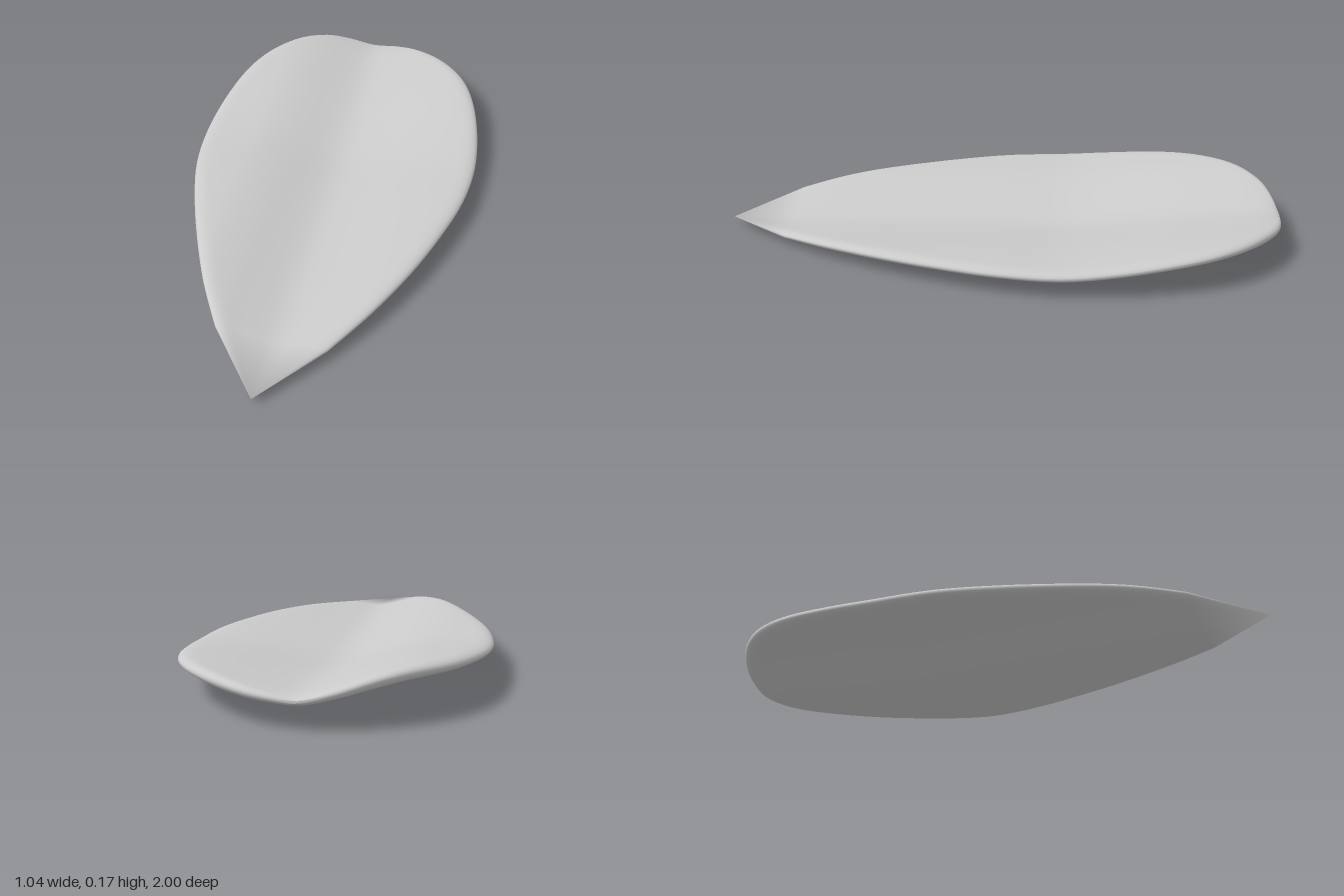
import * as THREE from 'three';

// Smooth interpolation through [position, value] pairs
function smooth(points, p) {
  const n = points.length - 1;
  if (p <= points[0][0]) return points[0][1];
  if (p >= points[n][0]) return points[n][1];
  let i = 0;
  while (p > points[i + 1][0]) i++;
  const slope = (j) => {
    const a = points[Math.max(j - 1, 0)], b = points[Math.min(j + 1, n)];
    return (b[1] - a[1]) / (b[0] - a[0]);
  };
  const [x0, y0] = points[i], [x1, y1] = points[i + 1];
  const d = x1 - x0, t = (p - x0) / d, t2 = t * t, t3 = t2 * t;
  return (2 * t3 - 3 * t2 + 1) * y0 + (t3 - 2 * t2 + t) * d * slope(i)
    + (3 * t2 - 2 * t3) * y1 + (t3 - t2) * d * slope(i + 1);
}

// Half outline from the round back end towards the pointed tip: (z, half width)
const outline = new THREE.SplineCurve([
  [-1, 0], [-0.99, 0.1], [-0.955, 0.2], [-0.87, 0.315], [-0.75, 0.41], [-0.6, 0.47],
  [-0.4, 0.508], [-0.2, 0.518], [0, 0.495], [0.2, 0.44], [0.4, 0.368], [0.6, 0.278], [0.77, 0.182],
].map(([z, w]) => new THREE.Vector2(z, w)));

// Creased valley across the width, one wing higher than the other
const valley = [[-0.52, 0.097], [-0.4, 0.095], [-0.3, 0.09], [-0.2, 0.071], [-0.1, 0.042], [0, 0.02],
  [0.1, 0.028], [0.2, 0.042], [0.3, 0.056], [0.4, 0.066], [0.52, 0.073]];
// Upward curl of the back end
const curl = [[-1, 0.068], [-0.77, 0.052], [-0.6, 0.037], [-0.4, 0.015], [-0.22, 0], [0, 0]];
// Half thickness along the length
const thickness = [[-1, 0.004], [-0.985, 0.012], [-0.95, 0.018], [-0.88, 0.021], [-0.4, 0.02],
  [0.4, 0.02], [0.6, 0.019], [0.77, 0.016]];

function petalGeometry() {
  const rings = 48, sides = 64;
  const positions = [], index = [];
  const middle = (x, z) => smooth(valley, x) + smooth(curl, z);

  // Cross-sections with rounded rims
  for (let i = 0; i < rings; i++) {
    const { x: z, y: w } = outline.getPoint((i + 0.4) / (rings - 0.6));
    const centre = -0.02 * THREE.MathUtils.smoothstep(z, 0.3, 1);
    const rim = Math.min(0.05, w * 0.5), half = smooth(thickness, z);
    for (let k = 0; k < sides; k++) {
      const a = (k / sides) * Math.PI * 2;
      const x = w * Math.cos(a);
      const inset = Math.min((w - Math.abs(x)) / rim, 1);
      const h = half * Math.sqrt(Math.max(0, 1 - (1 - inset) ** 2));
      positions.push(x + centre, middle(x + centre, z) + Math.sign(Math.sin(a)) * h, z);
    }
  }
  // Single points closing the back end and the tip
  const back = rings * sides, tip = back + 1;
  positions.push(0, middle(0, -1), -1, -0.02, 0.025, 1);

  const last = (rings - 1) * sides;
  for (let k = 0; k < sides; k++) {
    const k1 = (k + 1) % sides;
    index.push(back, k1, k, tip, last + k, last + k1);
    for (let i = 0; i < rings - 1; i++) {
      const a = i * sides + k, b = i * sides + k1;
      index.push(a, b, b + sides, a, b + sides, a + sides);
    }
  }

  const geometry = new THREE.BufferGeometry();
  geometry.setAttribute('position', new THREE.Float32BufferAttribute(positions, 3));
  geometry.setIndex(index);
  geometry.computeVertexNormals();
  return geometry;
}

export function createModel() {
  const model = new THREE.Group();
  const petal = new THREE.Mesh(petalGeometry(), new THREE.MeshStandardMaterial({ color: 0xcccccc }));
  petal.name = 'petal';
  model.add(petal);
  return model;
}
